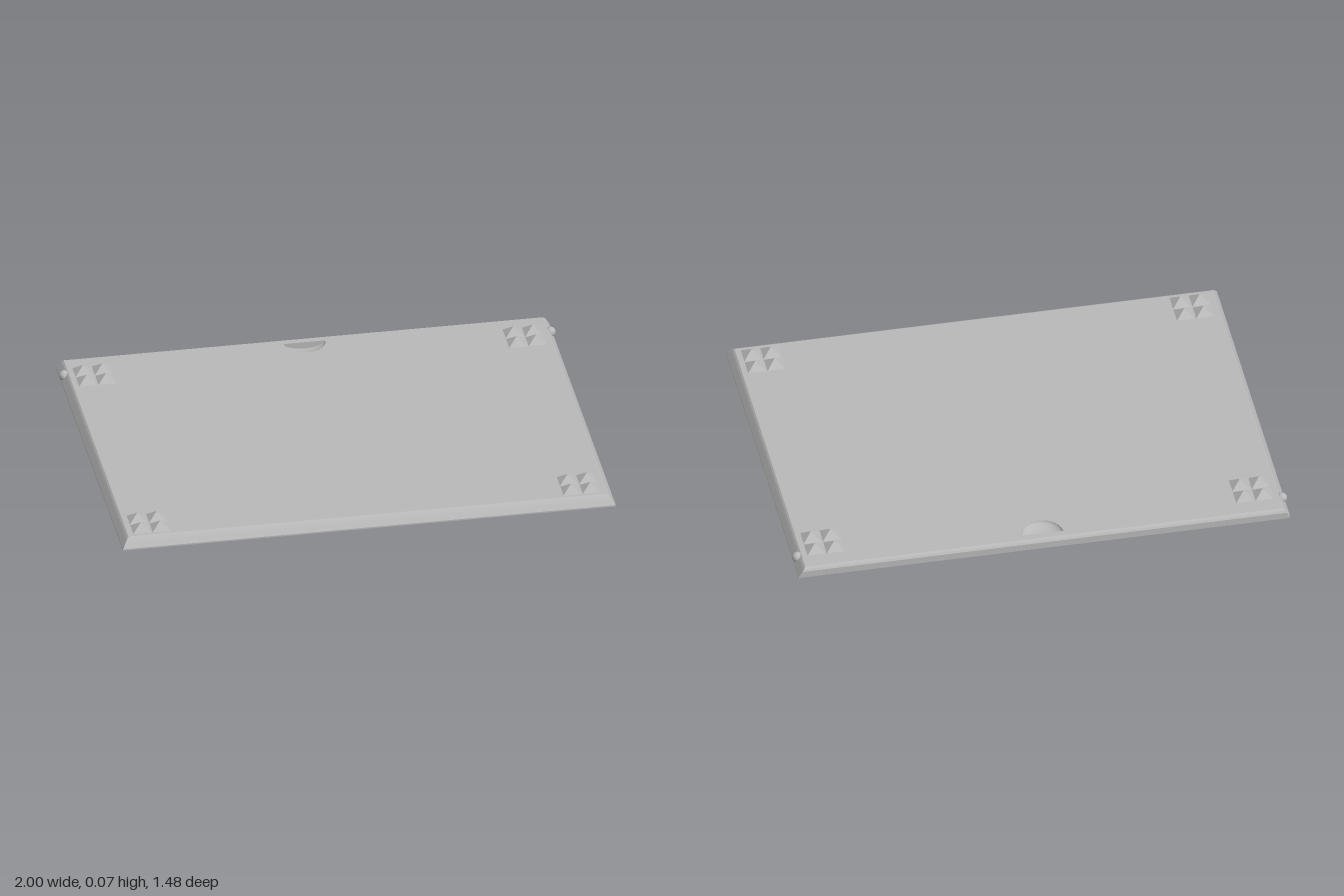
import * as THREE from 'three';
import { mergeGeometries } from 'three/addons/utils/BufferGeometryUtils.js';

const TOP = 0.042;

// Rectangular cross-sections of the slab: height, half width, front z, back z
const SECTIONS = [
  [0, 0.992, 0.742, -0.742],
  [0.006, 0.992, 0.742, -0.742],
  [0.028, 0.977, 0.724, -0.742],
  [0.036, 0.971, 0.716, -0.737],
  [TOP, 0.964, 0.706, -0.728],
];

const corners = ([y, w, f, b]) => [[-w, y, f], [w, y, f], [w, y, b], [-w, y, b]];

// Sloped rim joining one section to the next
function rimGeometry() {
  const pos = [];
  for (let s = 0; s < SECTIONS.length - 1; s++) {
    const lo = corners(SECTIONS[s]), hi = corners(SECTIONS[s + 1]);
    for (let i = 0; i < 4; i++) {
      const j = (i + 1) % 4;
      pos.push(...lo[i], ...lo[j], ...hi[j], ...lo[i], ...hi[j], ...hi[i]);
    }
  }
  const g = new THREE.BufferGeometry();
  g.setAttribute('position', new THREE.Float32BufferAttribute(pos, 3));
  g.computeVertexNormals();
  return g;
}

function rectangle(w, y0, y1) {
  return new THREE.Shape([[-w, y0], [w, y0], [w, y1], [-w, y1]].map(p => new THREE.Vector2(...p)));
}

// Reverses the faces so a closed surface is seen from inside
function insideOut(g) {
  g.scale(-1, 1, 1);
  g.computeVertexNormals();
  return g;
}

export function createModel() {
  const model = new THREE.Group();
  const grey = new THREE.MeshStandardMaterial({ color: 0xb8b8b8 });
  const add = (name, geometry, x = 0, y = 0, z = 0) => {
    const mesh = new THREE.Mesh(geometry, grey);
    mesh.name = name;
    mesh.position.set(x, y, z);
    model.add(mesh);
    return mesh;
  };

  add('bevelledRim', rimGeometry());

  // Top face with a half-round opening for the thumb scoop
  const scoopR = 0.083, scoopZ = -0.7, scoopDepth = 0.028;
  const top = SECTIONS[SECTIONS.length - 1];
  const topShape = rectangle(top[1], -top[2], -top[3]);
  const opening = new THREE.Path();
  opening.absarc(0, -scoopZ, scoopR, Math.PI, 2 * Math.PI, false);
  opening.closePath();
  topShape.holes.push(opening);
  add('topFace', new THREE.ShapeGeometry(topShape, 24).rotateX(-Math.PI / 2), 0, TOP, 0);

  // Thumb scoop: quarter bowl closed by a straight wall
  const bowl = new THREE.SphereGeometry(scoopR, 24, 10, 0, Math.PI, Math.PI / 2, Math.PI / 2);
  bowl.scale(1, scoopDepth / scoopR, 1);
  add('scoopBowl', insideOut(bowl), 0, TOP, scoopZ);
  const wall = new THREE.CircleGeometry(scoopR, 24, Math.PI, Math.PI).scale(1, scoopDepth / scoopR, 1);
  add('scoopWall', wall, 0, TOP, scoopZ);

  // Underside with staggered hexagonal pockets
  const pitch = 0.17, hexR = 0.076, depth = 0.032;
  const underside = rectangle(0.992, -0.742, 0.742);
  const pockets = [];
  for (let row = -3; row <= 3; row++) {
    const count = row % 2 ? 10 : 9;
    const z = row * pitch * Math.sqrt(3) / 2;
    for (let i = 0; i < count; i++) {
      const x = (i - (count - 1) / 2) * pitch;
      const points = [];
      for (let k = 0; k < 6; k++) {
        const a = Math.PI / 6 + k * Math.PI / 3;
        points.push(new THREE.Vector2(x + hexR * Math.cos(a), z + hexR * Math.sin(a)));
      }
      underside.holes.push(new THREE.Path(points));
      const sides = insideOut(new THREE.CylinderGeometry(hexR, hexR, depth, 6, 1, true).toNonIndexed());
      const floor = new THREE.CircleGeometry(hexR, 6, Math.PI / 6).toNonIndexed();
      floor.rotateX(Math.PI / 2).translate(0, depth / 2, 0);
      for (const g of [sides, floor]) pockets.push(g.translate(x, depth / 2, z));
    }
  }
  add('underside', new THREE.ShapeGeometry(underside).rotateX(Math.PI / 2));
  add('honeycombPockets', mergeGeometries(pockets));

  // Four clusters of pyramid studs, two by two
  const half = 0.037, height = 0.031;
  const pyramid = new THREE.ConeGeometry(half * Math.SQRT2, height, 4, 1).rotateY(Math.PI / 4).toNonIndexed();
  pyramid.computeVertexNormals();
  for (const x of [-0.905, -0.827, 0.827, 0.905]) {
    for (const z of [-0.624, -0.546, 0.577, 0.655]) {
      add('pyramidStud', pyramid, x, TOP + height / 2 - 0.0005, z);
    }
  }

  // Snap-in pivot balls near the back
  const ball = new THREE.SphereGeometry(0.021, 20, 14);
  for (const side of [-1, 1]) add('pivotBall', ball, side * 0.979, 0.025, -0.638);

  return model;
}
